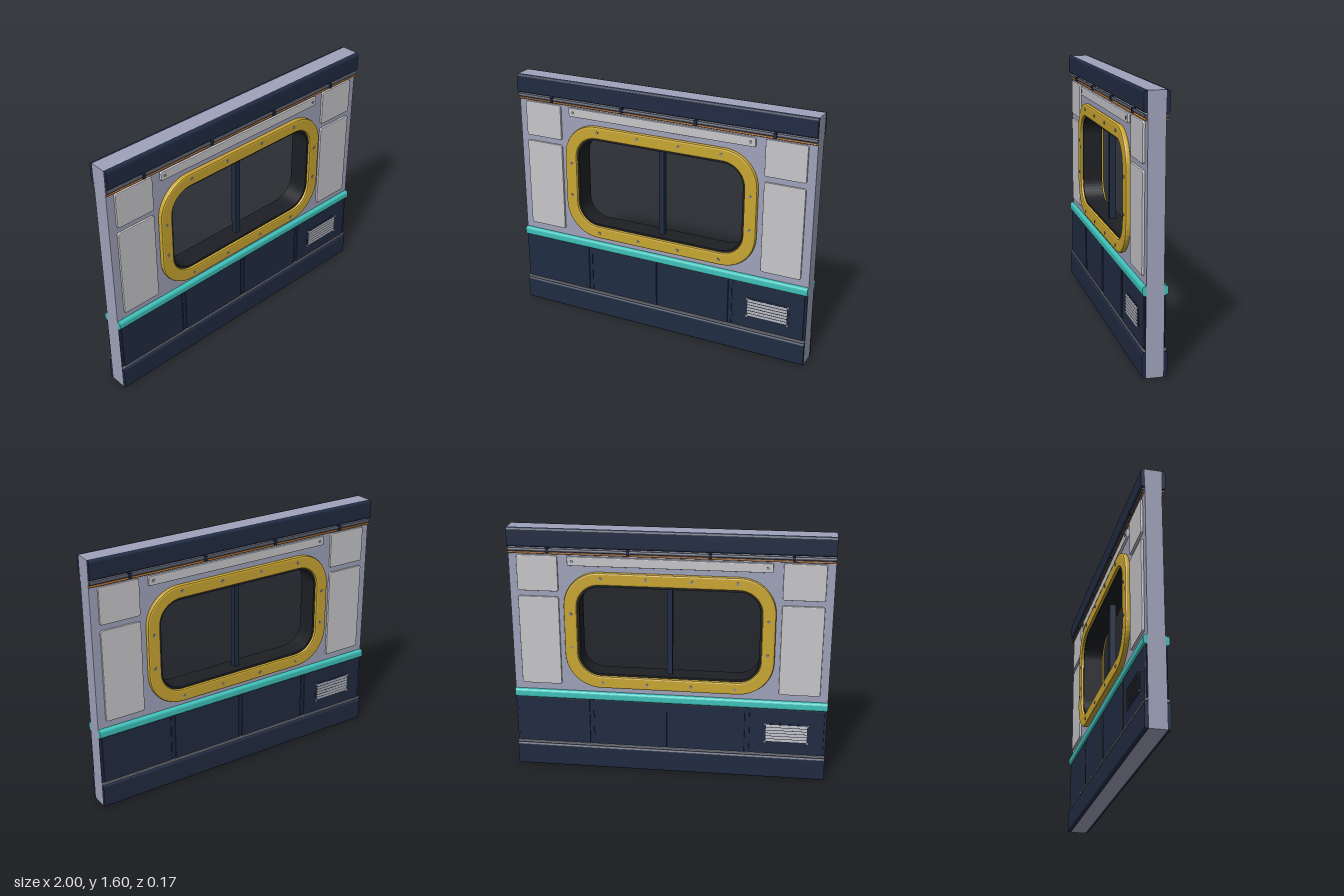
import * as THREE from 'three';

const mat = (name, color) => new THREE.MeshStandardMaterial({ name, color });

export function createModel() {
  const M = {
    wall: mat('lavender wall', 0x9fa2ba),
    navy: mat('navy trim', 0x202b42),
    panel: mat('pale panel', 0xc6c6ca),
    yellow: mat('yellow frame', 0xc9a632),
    teal: mat('teal stripe', 0x3fc1ba),
    rubber: mat('black rubber', 0x1d1f24),
    metal: mat('grey metal', 0x8b8d96),
    pipe: mat('dark pipe', 0x4a4f5c),
    copper: mat('copper pipe', 0xb5722f),
  };
  const WALL = 0.05; // half thickness of the core
  const WIN_Y = 0.953; // window centre height
  const model = new THREE.Group();
  model.name = 'wallSection';

  const add = (parent, name, geo, material, x = 0, y = 0, z = 0) => {
    const m = new THREE.Mesh(geo, material);
    m.name = name;
    m.position.set(x, y, z);
    parent.add(m);
    return m;
  };

  // Rounded rectangle outline centred on the origin
  const roundRect = (w, h, r, Type = THREE.Shape) => {
    const s = new Type();
    const a = w / 2, b = h / 2;
    s.moveTo(-a + r, -b);
    s.lineTo(a - r, -b);
    s.absarc(a - r, -b + r, r, -Math.PI / 2, 0);
    s.lineTo(a, b - r);
    s.absarc(a - r, b - r, r, 0, Math.PI / 2);
    s.lineTo(-a + r, b);
    s.absarc(-a + r, b - r, r, Math.PI / 2, Math.PI);
    s.lineTo(-a, -b + r);
    s.absarc(-a + r, -b + r, r, Math.PI, Math.PI * 1.5);
    return s;
  };

  // Bevelled plate from z = 0 to z = depth
  const plate = (shape, depth, bevel, curveSegments = 4) =>
    new THREE.ExtrudeGeometry(shape, {
      depth: depth - 2 * bevel, bevelEnabled: bevel > 0, bevelSize: bevel,
      bevelThickness: bevel, bevelOffset: -bevel, bevelSegments: 2, curveSegments,
    }).translate(0, 0, bevel);

  // Full-width rail with rounded outer edges, from the wall face out to z1
  const rail = (y0, y1, z1, r) => {
    const s = new THREE.Shape();
    s.moveTo(WALL, y0);
    s.lineTo(z1 - r, y0);
    s.absarc(z1 - r, y0 + r, r, -Math.PI / 2, 0);
    s.lineTo(z1, y1 - r);
    s.absarc(z1 - r, y1 - r, r, 0, Math.PI / 2);
    s.lineTo(WALL, y1);
    return new THREE.ExtrudeGeometry(s, { depth: 2, bevelEnabled: false, curveSegments: 4 })
      .rotateY(-Math.PI / 2).translate(1, 0, 0);
  };

  const rod = (r, length) => new THREE.CylinderGeometry(r, r, length, 10).rotateZ(Math.PI / 2);
  const screwGeo = new THREE.CylinderGeometry(0.01, 0.01, 0.006, 10).rotateX(Math.PI / 2);

  // Core wall with the window cut through it
  const core = new THREE.Shape([[-1, 0], [1, 0], [1, 1.6], [-1, 1.6]].map(p => new THREE.Vector2(...p)));
  const cut = roundRect(1.16, 0.61, 0.15, THREE.Path).getPoints(6)
    .map(p => new THREE.Vector2(p.x, p.y + WIN_Y));
  core.holes.push(new THREE.Path(cut));
  add(model, 'coreWall', plate(core, WALL * 2, 0), M.wall, 0, 0, -WALL);

  // Rubber lining and centre mullion
  const lining = roundRect(1.16, 0.61, 0.15);
  lining.holes.push(roundRect(1.124, 0.574, 0.132, THREE.Path));
  add(model, 'windowGasket', plate(lining, 0.13, 0, 6), M.rubber, 0, WIN_Y, -0.065);
  add(model, 'mullion', new THREE.BoxGeometry(0.034, 0.58, 0.04), M.navy, 0, WIN_Y, 0);

  const makeSide = (name) => {
    const side = new THREE.Group();
    side.name = name;
    model.add(side);
    const screw = (x, y, z) => add(side, 'screw', screwGeo, M.metal, x, y, z);

    // Horizontal bands
    add(side, 'topBand', rail(1.48, 1.6, 0.073, 0.015), M.navy);
    add(side, 'kickBand', rail(0, 0.152, 0.073, 0.015), M.navy);
    add(side, 'tealStripe', rail(0.48, 0.535, 0.074, 0.016), M.teal);
    add(side, 'lowerBacking', rail(0.152, 0.48, 0.056, 0.002), M.navy);
    add(side, 'kickTrim', rail(0.155, 0.168, 0.068, 0.003), M.metal);

    // Service pipes with clips
    add(side, 'greyPipe', rod(0.01, 2), M.pipe, 0, 1.462, 0.06);
    add(side, 'copperPipe', rod(0.006, 2), M.copper, 0, 1.443, 0.058);
    for (const x of [-0.75, -0.25, 0.25, 0.75])
      add(side, 'pipeClip', new THREE.BoxGeometry(0.018, 0.03, 0.026), M.navy, x, 1.462, 0.062);

    // Lower panels and the joint strips between them
    for (let i = 0; i < 4; i++)
      add(side, 'lowerPanel', plate(roundRect(0.47, 0.31, 0.004), 0.016, 0.004), M.navy,
        -0.75 + i * 0.5, 0.324, 0.048);
    for (const x of [-0.5, 0, 0.5])
      add(side, 'jointStrip', new THREE.BoxGeometry(0.018, 0.31, 0.012), M.navy, x, 0.324, 0.054);

    // Pale wall panels
    for (const s of [-1, 1])
      for (const [y, h] of [[1.315, 0.23], [0.872, 0.585]])
        add(side, 'wallPanel', plate(roundRect(0.258, h, 0.014), 0.017, 0.005), M.panel,
          s * 0.82, y, 0.048);

    // Strip above the window
    add(side, 'headerStrip', plate(roundRect(1.26, 0.058, 0.008), 0.018, 0.005), M.panel, 0, 1.398, 0.048);
    for (const x of [-0.6, 0.6]) screw(x, 1.398, 0.066);

    // Yellow window surround with screws
    const ring = roundRect(1.316, 0.764, 0.225);
    ring.holes.push(roundRect(1.15, 0.6, 0.145, THREE.Path));
    add(side, 'windowFrame', plate(ring, 0.034, 0.011, 5), M.yellow, 0, WIN_Y, 0.048);
    for (const s of [-1, 1]) {
      for (const x of [-0.42, -0.14, 0.14, 0.42]) screw(x, WIN_Y + s * 0.345, 0.082);
      for (const y of [-0.11, 0.11]) screw(s * 0.615, WIN_Y + y, 0.082);
    }

    // Louvred vent
    const vent = new THREE.Group();
    vent.name = 'vent';
    vent.position.set(0.75, 0.315, 0.062);
    side.add(vent);
    add(vent, 'ventBack', new THREE.BoxGeometry(0.28, 0.135, 0.008), M.navy);
    add(vent, 'ventRecess', new THREE.BoxGeometry(0.26, 0.115, 0.004), M.rubber, 0, 0, 0.003);
    for (let i = 0; i < 6; i++)
      add(vent, 'ventSlat', new THREE.BoxGeometry(0.26, 0.015, 0.004), M.metal,
        0, -0.05 + i * 0.02, 0.007).rotation.x = -0.5;
    for (const x of [-0.134, 0.134])
      for (const y of [-0.061, 0.061])
        add(vent, 'ventScrew', screwGeo, M.metal, x, y, 0.005).scale.set(0.7, 0.7, 1);
    return side;
  };

  // Both faces carry the same fittings, turned about the upright axis
  makeSide('frontFace');
  makeSide('backFace').rotation.y = Math.PI;
  return model;
}
